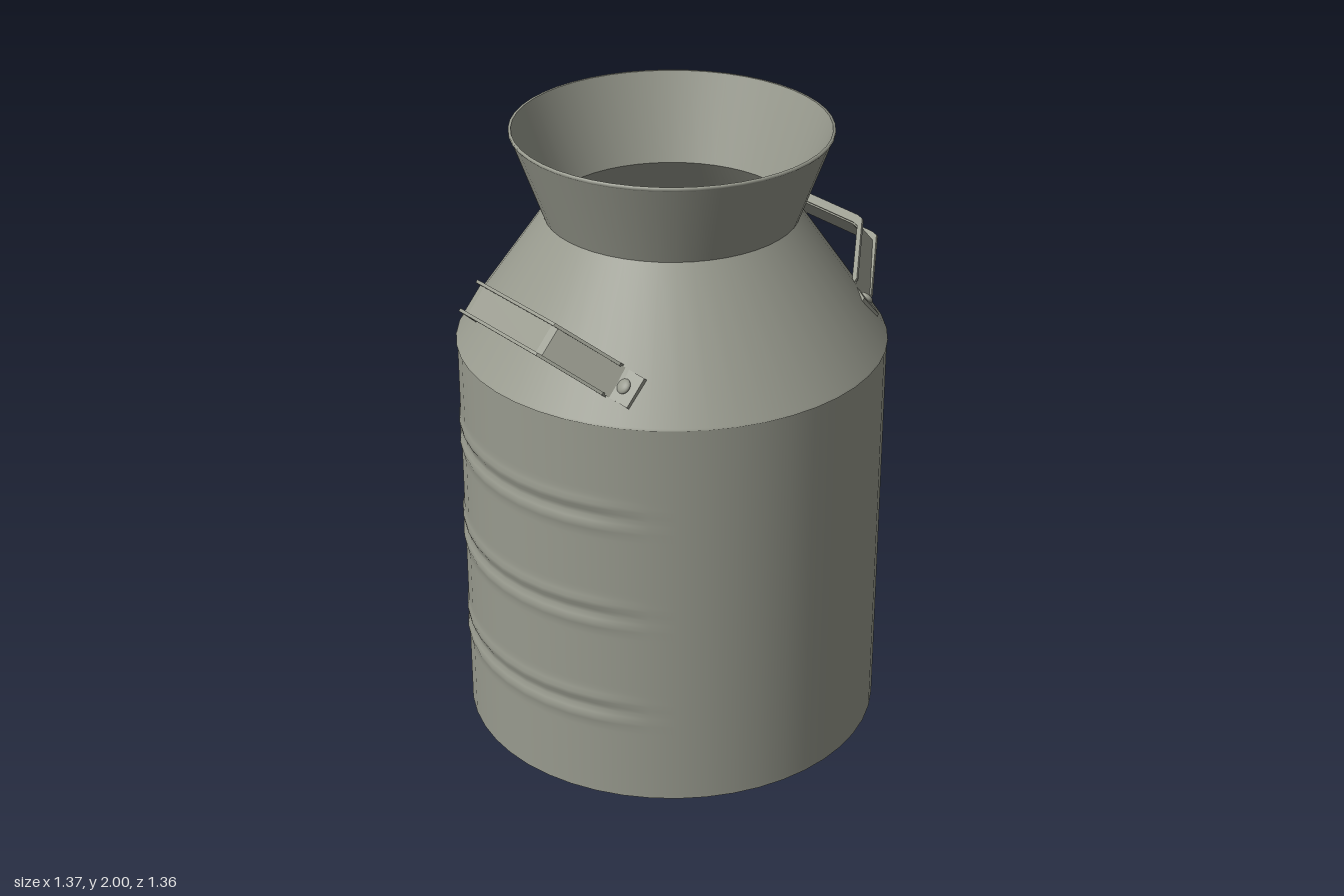
import * as THREE from 'three';
import { mergeVertices } from 'three/addons/utils/BufferGeometryUtils.js';

const SEGMENTS = 48;
const BODY_R = 0.675, NECK_R = 0.395, RIM_R = 0.495;
const SHOULDER_Y = 1.32, NECK_Y = 1.725, TOP_Y = 2, WALL = 0.008;

export function createModel() {
  const steel = new THREE.MeshStandardMaterial({ color: 0x989a8e });
  steel.name = 'dull steel';
  const can = new THREE.Group();
  can.name = 'milkCan';

  const add = (parent, name, geometry) => {
    const mesh = new THREE.Mesh(geometry, steel);
    mesh.name = name;
    parent.add(mesh);
    return mesh;
  };
  // Profiles running upward face outward, profiles running downward face inward
  const lathe = (points) =>
    new THREE.LatheGeometry(points.map(([r, y]) => new THREE.Vector2(r, y)), SEGMENTS);

  // Outer shell, one piece per crease
  add(can, 'base', lathe([[0, 0], [BODY_R, 0]]));
  add(can, 'bodyWall', bodyWall(lathe));
  add(can, 'shoulder', lathe([[BODY_R + 0.003, SHOULDER_Y - 0.006], [BODY_R, SHOULDER_Y], [NECK_R, NECK_Y]]));
  add(can, 'flaredNeck', lathe([[NECK_R, NECK_Y], [RIM_R - 0.004, TOP_Y - 0.012]]));
  add(can, 'rim', lathe([[RIM_R - 0.004, TOP_Y - 0.012], [RIM_R, TOP_Y - 0.008], [RIM_R, TOP_Y], [RIM_R - WALL, TOP_Y]]));

  // Hollow inside
  add(can, 'neckInside', lathe([[RIM_R - WALL, TOP_Y], [NECK_R - WALL, NECK_Y]]));
  add(can, 'shoulderInside', lathe([[NECK_R - WALL, NECK_Y], [BODY_R - WALL, SHOULDER_Y]]));
  add(can, 'wallInside', lathe([[BODY_R - WALL, SHOULDER_Y], [BODY_R - WALL, 0.015]]));
  add(can, 'floorInside', lathe([[BODY_R - WALL, 0.015], [0, 0.015]]));

  // Handles on both sides, leaning out from the shoulder
  for (const side of [1, -1]) {
    const handle = new THREE.Group();
    handle.name = side > 0 ? 'leftHandle' : 'rightHandle';
    const along = new THREE.Vector3(0, 0, 1);
    const out = new THREE.Vector3(0.75 * side, 0.66, 0).normalize();
    const across = new THREE.Vector3().crossVectors(along, out);
    handle.quaternion.setFromRotationMatrix(new THREE.Matrix4().makeBasis(along, out, across));
    handle.position.set(0.485 * side, 1.42, 0.015);

    add(handle, 'strap', strip(0.1, -0.006, 0.006, false));
    for (const edge of [1, -1]) {
      add(handle, 'strapLip', strip(0.01, -0.006, 0.022, true)).position.z = edge * 0.05;
    }
    // Rivets through the feet
    for (const end of [1, -1]) {
      const rivet = add(handle, 'rivet', new THREE.SphereGeometry(0.024, 16, 10));
      rivet.scale.y = 0.5;
      rivet.position.set(end * 0.355, -0.002, 0);
      const shank = add(handle, 'rivetShank', new THREE.CylinderGeometry(0.014, 0.014, 0.06, 12));
      shank.position.set(end * 0.355, -0.035, 0);
    }
    can.add(handle);
  }
  return can;
}

// Cylinder wall with shallow pressed beads; the upper and lower ones fade out at front and back
function bodyWall(lathe) {
  const rows = [];
  for (let i = 0; i <= 88; i++) rows.push([BODY_R, (SHOULDER_Y * i) / 88]);
  const geometry = lathe(rows);
  geometry.deleteAttribute('uv');
  geometry.deleteAttribute('normal');
  const p = geometry.attributes.position;
  const bump = (y, centre) => Math.exp(-(((y - centre) / 0.017) ** 2));
  for (let i = 0; i < p.count; i++) {
    const x = p.getX(i), y = p.getY(i), z = p.getZ(i);
    const sideFade = THREE.MathUtils.smoothstep(Math.abs(x) / BODY_R, 0.7, 0.9);
    const backFade = Math.max(sideFade, THREE.MathUtils.smoothstep(-z / BODY_R, 0, 0.3));
    let lift = 0;
    for (const [centre, fade] of [[1.01, sideFade], [0.665, backFade], [0.32, sideFade]]) {
      lift += fade * 0.006 * (bump(y, centre + 0.035) + bump(y, centre - 0.035) - bump(y, centre));
    }
    const k = 1 + lift / BODY_R;
    p.setXYZ(i, x * k, y, z * k);
  }
  const merged = mergeVertices(geometry, 1e-5);
  merged.computeVertexNormals();
  return merged;
}

// Bent strap outline given a width; lips stop short of the feet
function strip(width, low, high, lip) {
  const half = lip
    ? [[0.325, 0.005], [0.195, 0.19], [0.17, 0.195]]
    : [[0.395, -0.025], [0.335, 0], [0.195, 0.185], [0.17, 0.19]];
  const path = [...half.map(([s, u]) => [-s, u]), ...[...half].reverse()];
  const outline = [
    ...path.map(([s, u]) => new THREE.Vector2(s, u + low)),
    ...[...path].reverse().map(([s, u]) => new THREE.Vector2(s, u + high)),
  ];
  const geometry = new THREE.ExtrudeGeometry(new THREE.Shape(outline), { depth: width, bevelEnabled: false });
  geometry.translate(0, 0, -width / 2);
  return geometry;
}
